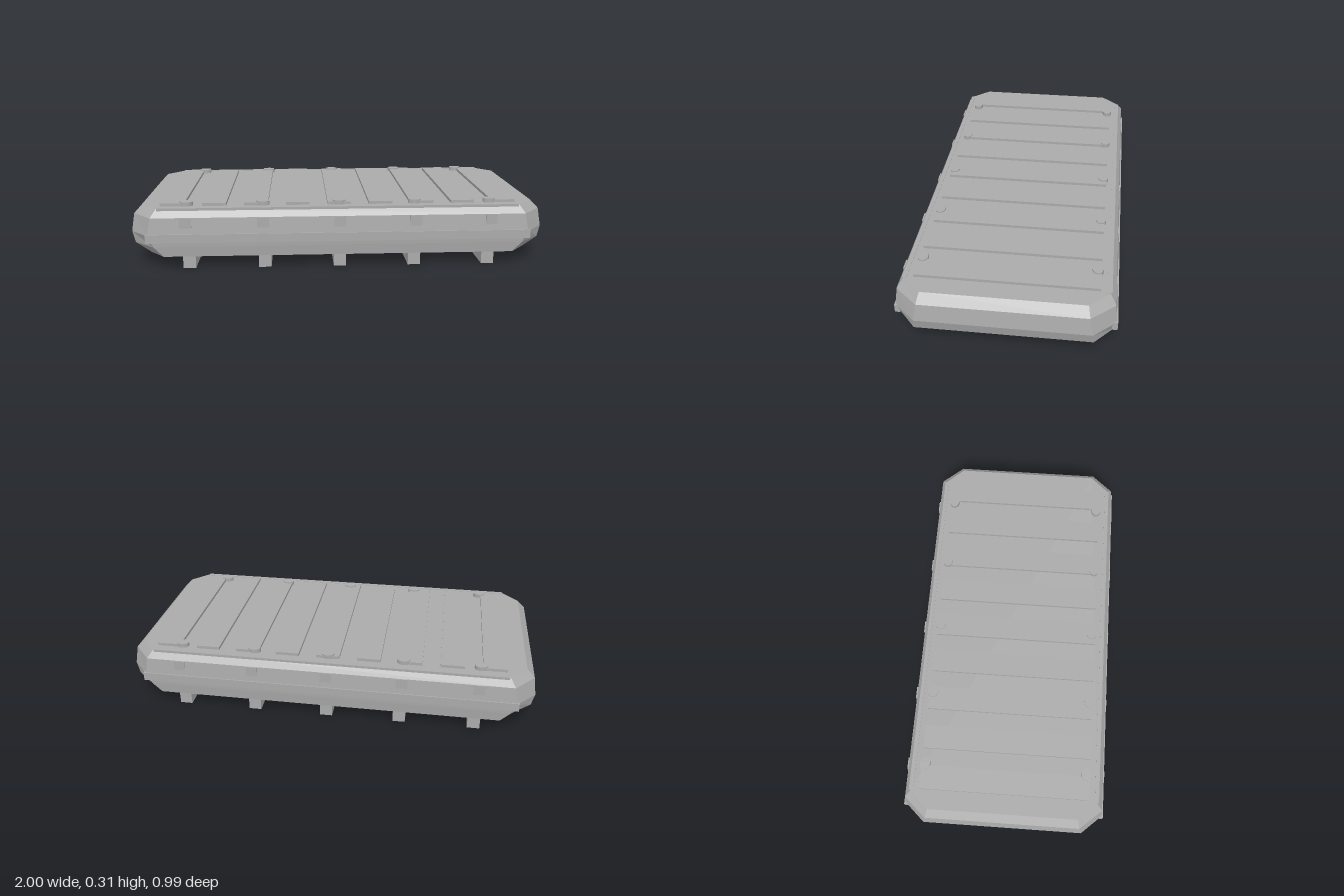
import * as THREE from 'three';

export function createModel() {
  const model = new THREE.Group();
  const grey = new THREE.MeshStandardMaterial({ color: 0xaaaaaa });
  grey.name = 'hull grey';

  function add(name, geometry, x = 0, y = 0, z = 0) {
    const mesh = new THREE.Mesh(geometry, grey);
    mesh.name = name;
    mesh.position.set(x, y, z);
    model.add(mesh);
    return mesh;
  }
  // box given by its centre in x and z and its bottom and top heights
  const box = (name, w, d, y0, y1, x = 0, z = 0) =>
    add(name, new THREE.BoxGeometry(w, y1 - y0, d), x, (y0 + y1) / 2, z);

  // hull: octagonal sections [y, half length, half width, chamfer start x, chamfer start z]
  const sections = [
    [0.06, 0.91, 0.48, 0.84, 0.4],
    [0.11, 0.985, 0.486, 0.885, 0.395],
    [0.165, 1.0, 0.49, 0.91, 0.39],
    [0.25, 0.988, 0.482, 0.895, 0.375],
    [0.29, 0.95, 0.455, 0.868, 0.365],
  ];
  const ring = ([y, hx, hz, cx, cz]) => [
    [hx, cz], [cx, hz], [-cx, hz], [-hx, cz],
    [-hx, -cz], [-cx, -hz], [cx, -hz], [hx, -cz],
  ].map(([x, z]) => [x, y, z]);
  const rings = sections.map(ring);
  const points = [];
  const triangle = (a, b, c) => points.push(...a, ...b, ...c);
  for (let k = 0; k < rings.length - 1; k++) {
    for (let i = 0; i < 8; i++) {
      const j = (i + 1) % 8;
      triangle(rings[k][i], rings[k + 1][j], rings[k][j]);
      triangle(rings[k][i], rings[k + 1][i], rings[k + 1][j]);
    }
  }
  const bottom = rings[0], top = rings[rings.length - 1];
  for (let i = 1; i < 7; i++) {
    triangle(bottom[0], bottom[i], bottom[i + 1]);
    triangle(top[0], top[i + 1], top[i]);
  }
  // the ring runs clockwise seen from above, so turn every face outward
  for (let i = 0; i < points.length; i += 9) {
    const [a, b, c] = [0, 3, 6].map((o) => new THREE.Vector3().fromArray(points, i + o));
    const normal = b.clone().sub(a).cross(c.clone().sub(a));
    const outward = a.clone().add(b).add(c).divideScalar(3).sub(new THREE.Vector3(0, 0.17, 0));
    if (normal.dot(outward) < 0) {
      b.toArray(points, i + 6);
      c.toArray(points, i + 3);
    }
  }
  const hull = new THREE.BufferGeometry();
  hull.setAttribute('position', new THREE.Float32BufferAttribute(points, 3));
  hull.computeVertexNormals();
  add('hull', hull);

  // raised slats across the top
  for (let i = -4; i <= 4; i++) box('topSlat', 0.114, 0.825, 0.288, 0.304, i * 0.2);

  // long rails and lips on both sides
  for (const s of [-1, 1]) {
    box('sideRail', 1.84, 0.025, 0.13, 0.172, 0, s * 0.4825);
    box('topLip', 1.73, 0.02, 0.276, 0.292, 0, s * 0.452);
  }

  // skids, with side clips and top studs at matching stations
  const stud = new THREE.CylinderGeometry(0.025, 0.025, 0.022, 12);
  for (let i = -2; i <= 2; i++) {
    box('skid', 0.06, 0.95, 0, 0.065, i * 0.36);
    for (const s of [-1, 1]) {
      box('sideClip', 0.056, 0.025, 0.2, 0.25, i * 0.365, s * 0.4755);
      add('topStud', stud, i * 0.367, 0.299, s * 0.395).scale.x = 1.25;
    }
  }
  return model;
}
